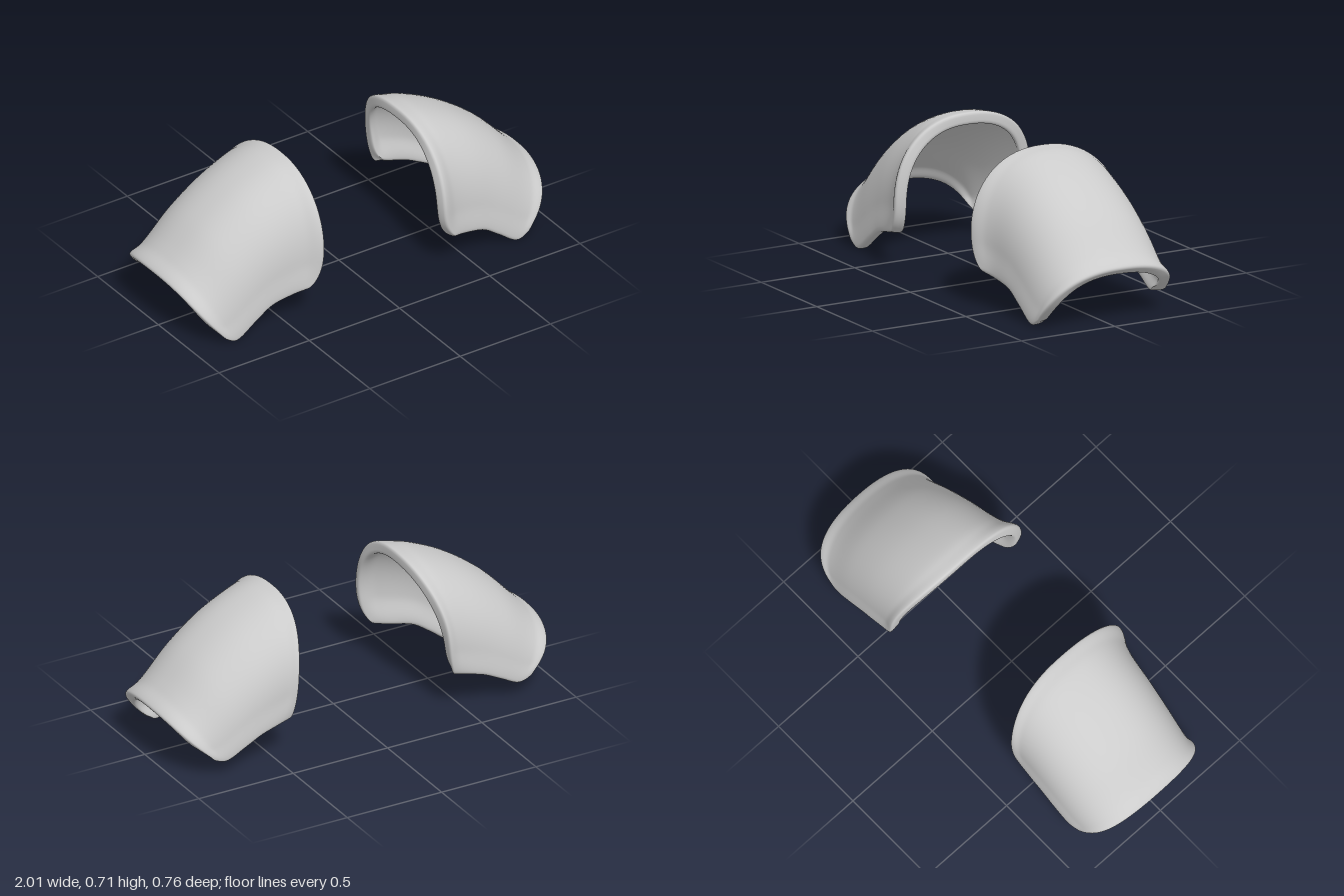
import * as THREE from 'three';
import { mergeVertices } from 'three/addons/utils/BufferGeometryUtils.js';

const curve = (pts) => new THREE.CatmullRomCurve3(pts.map((p) => new THREE.Vector3(...p)), false, 'catmullrom', 0.5);

// Guide lines running from the neck side to the arm side
const crown = curve([[0.32, 0.686, 0], [0.42, 0.682, 0], [0.6, 0.602, 0], [0.77, 0.482, -0.01], [0.9, 0.35, -0.02], [0.994, 0.255, -0.03]]);
const frontHem = curve([[0.325, 0.17, 0.36], [0.46, 0.152, 0.32], [0.58, 0.127, 0.306], [0.67, 0.07, 0.302], [0.77, 0.002, 0.299], [0.835, 0.028, 0.296]]);
const backHem = curve([[0.4, 0.21, -0.358], [0.5, 0.188, -0.352], [0.59, 0.162, -0.352], [0.68, 0.118, -0.352], [0.77, 0.075, -0.348], [0.835, 0.098, -0.341]]);

// Middle surface: a rounded arch from back hem (v = -1) over the crown to front hem (v = 1),
// whose sides run straight down below the arch near the neck
function surfacePoint(u, v) {
  const n = 2.3;
  const archShare = 0.7 + 0.3 * u;
  const archEnd = 1 - 0.7 * (1 - archShare);
  const t = Math.abs(v);
  const a = Math.min(t / archEnd, 1) * Math.PI / 2;
  const c = Math.cos(a), s = Math.sin(a);
  const r = Math.pow(Math.pow(Math.abs(c), n) + Math.pow(s, n), -1 / n);
  const w = archShare * (1 - r * c) + Math.max(0, t - archEnd) / 0.7;
  const top = crown.getPoint(u);
  const hem = (v >= 0 ? frontHem : backHem).getPoint(u);
  const p = new THREE.Vector3(
    top.x + (hem.x - top.x) * w,
    top.y + (hem.y - top.y) * w,
    top.z + (hem.z - top.z) * r * s
  );
  // Rounded lower corners of the neck opening, and a slight bow in the arm edge
  const fade = Math.max(0, 1 - u / 0.35) ** 2;
  const corner = Math.pow(w, 8);
  const bow = Math.sin(Math.PI * w);
  p.x += fade * (v >= 0 ? 0.075 * corner : 0.025 * bow + 0.04 * corner);
  p.x += 0.018 * Math.pow(u, 4) * bow;
  p.z -= fade * 0.02 * corner * Math.sign(v);
  return p;
}

function surfaceNormal(u, v) {
  const d = 0.004;
  const u0 = Math.max(0, u - d), u1 = Math.min(1, u + d);
  const v0 = Math.max(-1, v - d), v1 = Math.min(1, v + d);
  const du = surfacePoint(u1, v).sub(surfacePoint(u0, v));
  const dv = surfacePoint(u, v1).sub(surfacePoint(u, v0));
  return dv.cross(du).normalize();
}

// Offset of the outer (face = 1) or inner (face = -1) skin: rounded at every edge, thicker along the rim
function skinOffset(u, v, face) {
  const eu = Math.min(u, 1 - u) * 0.75;
  const ev = (1 - Math.abs(v)) * 0.55;
  const round = (e) => Math.cbrt(Math.max(0, 1 - (1 - Math.min(e / 0.025, 1)) ** 3));
  const inner = THREE.MathUtils.smoothstep(eu, 0.025, 0.11) * THREE.MathUtils.smoothstep(ev, 0.025, 0.11);
  const rim = face > 0 ? 0.025 : 0.033;
  return face * THREE.MathUtils.lerp(rim, 0.017, inner) * round(eu) * round(ev);
}

// Closed shell; side is 1 for the left pad and -1 for its mirror
function padGeometry(side) {
  const NU = 56, NV = 88;
  const ease = (s) => s - 0.95 * Math.sin(2 * Math.PI * s) / (2 * Math.PI);
  const pos = [], index = [];
  for (const face of [1, -1]) {
    const base = pos.length / 3;
    for (let i = 0; i <= NU; i++) {
      for (let j = 0; j <= NV; j++) {
        const u = ease(i / NU), v = ease(j / NV) * 2 - 1;
        const border = i === 0 || i === NU || j === 0 || j === NV;
        const p = surfacePoint(u, v);
        if (!border) p.addScaledVector(surfaceNormal(u, v), skinOffset(u, v, face));
        pos.push(p.x * side, p.y, p.z);
      }
    }
    for (let i = 0; i < NU; i++) {
      for (let j = 0; j < NV; j++) {
        const a = base + i * (NV + 1) + j, b = a + 1, c = a + NV + 1, d = c + 1;
        if (face * side > 0) index.push(a, b, c, b, d, c);
        else index.push(a, c, b, b, c, d);
      }
    }
  }
  const geo = new THREE.BufferGeometry();
  geo.setAttribute('position', new THREE.Float32BufferAttribute(pos, 3));
  geo.setIndex(index);
  const merged = mergeVertices(geo, 1e-5);
  merged.computeVertexNormals();
  return merged;
}

export function createModel() {
  const group = new THREE.Group();
  group.name = 'shoulderPads';
  const material = new THREE.MeshStandardMaterial({ color: 0xcccccc });
  for (const [name, side] of [['leftShoulderPad', 1], ['rightShoulderPad', -1]]) {
    const pad = new THREE.Mesh(padGeometry(side), material);
    pad.name = name;
    group.add(pad);
  }
  return group;
}
